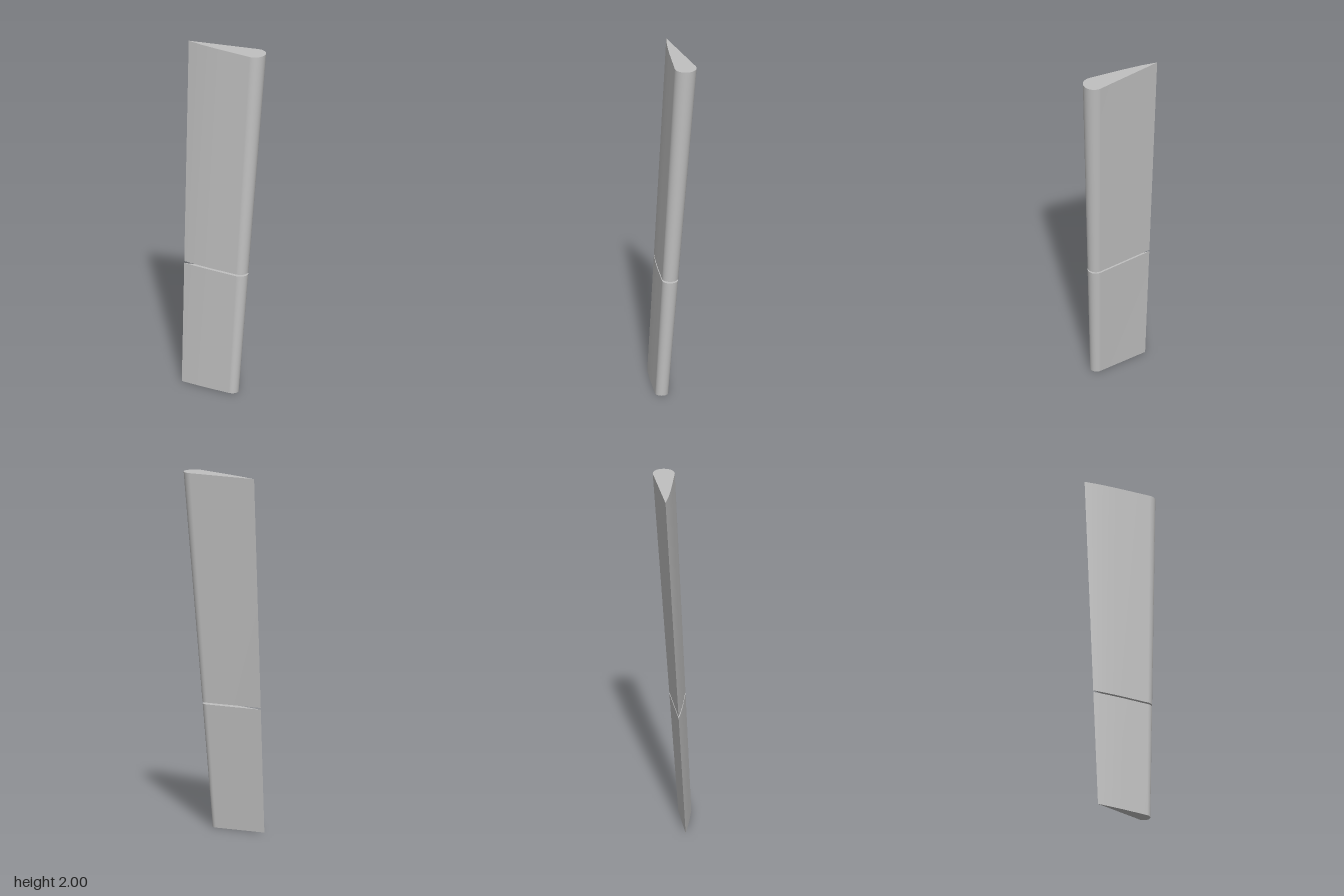
import * as THREE from 'three';

const grey = new THREE.MeshStandardMaterial({ color: 0xc0c0c0 });
grey.name = 'light grey';

// End sections: sharp tail point, two points on the bulged front face, round nose
const lower = { tail: [-0.233, 0.031], front: [[-0.16, 0.05], [-0.08, 0.069]], nose: [0.075, 0.064], radius: 0.036 };
const upper = { tail: [-0.233, -0.081], front: [[-0.15, -0.053], [-0.04, -0.025]], nose: [0.171, -0.041], radius: 0.061 };
const HEIGHT = 2, ARC = 24;

// Outline running tail -> front -> nose -> back -> tail, as [x, z]
function outline({ tail, front, nose, radius }) {
  const points = [tail, ...front];
  for (let i = 0; i <= ARC; i++) {
    const a = THREE.MathUtils.degToRad(101 - 194 * i / ARC);
    points.push([nose[0] + radius * Math.cos(a), nose[1] + radius * Math.sin(a)]);
  }
  return [...points, tail];
}

// Outline of the tapering, leaning blade at a given height
function sectionAt(y) {
  const a = outline(lower), b = outline(upper), t = y / HEIGHT;
  return a.map(([x, z], i) => [
    THREE.MathUtils.lerp(x, b[i][0], t), y, THREE.MathUtils.lerp(z, b[i][1], t),
  ]);
}

function makeGeometry(positions, index) {
  const g = new THREE.BufferGeometry();
  g.setAttribute('position', new THREE.Float32BufferAttribute(positions.flat(), 3));
  g.setIndex(index);
  g.computeVertexNormals();
  return g;
}

// One blade piece: smooth skin plus a flat cap on each end
function bladePiece(name, y0, y1) {
  const group = new THREE.Group();
  group.name = name;
  const add = (part, geometry) => {
    const mesh = new THREE.Mesh(geometry, grey);
    mesh.name = part;
    group.add(mesh);
  };

  const bottom = sectionAt(y0), top = sectionAt(y1), n = bottom.length;
  const skin = [], topCap = [], bottomCap = [];
  for (let i = 0; i < n - 1; i++) {
    skin.push(i, i + 1, n + i + 1, i, n + i + 1, n + i);
    if (i > 0 && i < n - 2) {
      topCap.push(0, i, i + 1);
      bottomCap.push(0, i + 1, i);
    }
  }
  add('skin', makeGeometry([...bottom, ...top], skin));
  add('topCap', makeGeometry(top, topCap));
  add('bottomCap', makeGeometry(bottom, bottomCap));
  return group;
}

export function createModel() {
  const model = new THREE.Group();
  model.name = 'blade';
  // Two pieces with a narrow open gap between them
  model.add(bladePiece('lowerBlade', 0, 0.695));
  model.add(bladePiece('upperBlade', 0.705, HEIGHT));
  return model;
}
